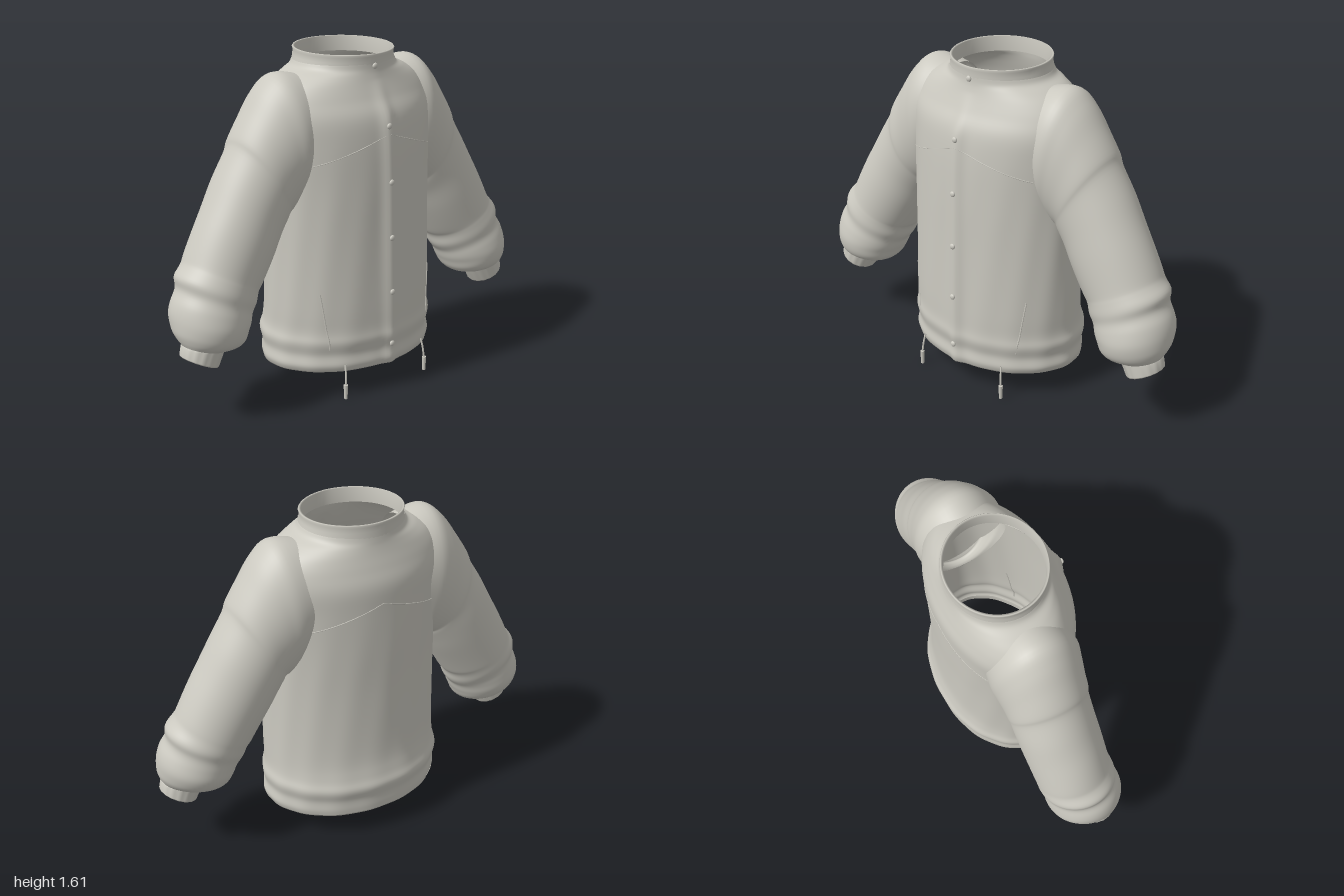
import * as THREE from 'three';

const cloth = new THREE.MeshStandardMaterial({ color: 0xcbc9c0, side: THREE.DoubleSide });
cloth.name = 'stone cloth';

// Torso sections: y, half width, front z, back z
const BODY = [
  [0.13, 0.445, 0.32, -0.333], [0.16, 0.455, 0.327, -0.335], [0.21, 0.448, 0.322, -0.337],
  [0.27, 0.458, 0.333, -0.35], [0.33, 0.445, 0.328, -0.333], [0.45, 0.443, 0.326, -0.315],
  [0.75, 0.44, 0.318, -0.308], [1.0, 0.44, 0.312, -0.31], [1.2, 0.45, 0.302, -0.31],
  [1.32, 0.455, 0.285, -0.308], [1.4, 0.435, 0.248, -0.287], [1.46, 0.385, 0.223, -0.269],
  [1.5, 0.32, 0.21, -0.259], [1.525, 0.265, 0.205, -0.255], [1.55, 0.246, 0.203, -0.252],
];

// Sleeve sections: outer x, y, inner x, y, centre z, half depth
const SLEEVE = [
  [0.25, 1.5, 0.3, 0.98, -0.025, 0.2], [0.39, 1.525, 0.33, 0.9, -0.02, 0.215],
  [0.475, 1.465, 0.35, 0.87, -0.02, 0.207], [0.55, 1.36, 0.37, 0.86, -0.02, 0.198],
  [0.61, 1.265, 0.385, 0.86, -0.02, 0.194], [0.635, 1.205, 0.395, 0.84, -0.02, 0.189],
  [0.72, 1.07, 0.42, 0.8, -0.018, 0.188], [0.8, 0.925, 0.465, 0.715, -0.012, 0.187],
  [0.88, 0.775, 0.545, 0.59, -0.004, 0.183], [0.91, 0.725, 0.567, 0.555, 0, 0.184],
  [0.943, 0.68, 0.585, 0.515, 0.005, 0.186], [0.95, 0.63, 0.605, 0.48, 0.012, 0.18],
  [0.975, 0.575, 0.622, 0.45, 0.018, 0.185], [0.995, 0.51, 0.642, 0.412, 0.025, 0.187],
  [0.995, 0.455, 0.66, 0.37, 0.033, 0.172], [0.985, 0.415, 0.7, 0.345, 0.045, 0.142],
  [0.972, 0.388, 0.775, 0.335, 0.056, 0.098],
];

const catmull = (a, b, c, d, t) =>
  0.5 * (2 * b + (c - a) * t + (2 * a - 5 * b + 4 * c - d) * t * t + (3 * b - a - 3 * c + d) * t * t * t);

// Insert smooth intermediate sections
function refine(rows, steps) {
  const at = i => rows[Math.min(Math.max(i, 0), rows.length - 1)], out = [];
  for (let i = 0; i < rows.length - 1; i++)
    for (let s = 0; s < steps; s++)
      out.push(rows[i].map((_, k) => catmull(at(i - 1)[k], at(i)[k], at(i + 1)[k], at(i + 2)[k], s / steps)));
  out.push(rows[rows.length - 1]);
  return out;
}

// Skin closed rings given by point(row, angle, index)
function loft(name, rows, sides, point, flip = false) {
  const pos = [], idx = [];
  rows.forEach((row, i) => {
    for (let j = 0; j < sides; j++) pos.push(...point(row, (j / sides) * Math.PI * 2, i / (rows.length - 1)));
  });
  for (let i = 0; i < rows.length - 1; i++)
    for (let j = 0; j < sides; j++) {
      const a = i * sides + j, b = i * sides + ((j + 1) % sides), c = a + sides, d = b + sides;
      if (flip) idx.push(a, b, c, b, d, c);
      else idx.push(a, c, b, b, c, d);
    }
  const g = new THREE.BufferGeometry();
  g.setAttribute('position', new THREE.Float32BufferAttribute(pos, 3));
  g.setIndex(idx);
  g.computeVertexNormals();
  const m = new THREE.Mesh(g, cloth);
  m.name = name;
  return m;
}

// Raised button placket down the front
const placket = (x, y) => 0.018 * Math.exp(-((x / 0.035) ** 2)) * Math.min(1, Math.max(0.1, (1.5 - y) / 0.2));

function bodyPoint([y, w, zf, zb], a) {
  const calm = Math.min(1, Math.max(0, (1.3 - y) / 0.4));
  const drape = 1 + 0.006 * calm * Math.sin(11 * a + 2 * y) * Math.sin(5 * a + 3 * y);
  const x = w * Math.cos(a) * drape;
  let z = (zf + zb) / 2 + ((zf - zb) / 2) * Math.sin(a) * drape;
  if (Math.sin(a) > 0) z += placket(x, y);
  return [x, y, z];
}

// Depth of the torso surface at x, y
function surfaceZ(x, y, side = 1) {
  let i = 0;
  while (i < BODY.length - 2 && BODY[i + 1][0] < y) i++;
  const t = (y - BODY[i][0]) / (BODY[i + 1][0] - BODY[i][0]);
  const [, w, zf, zb] = BODY[i].map((v, k) => v + (BODY[i + 1][k] - v) * t);
  const z = (zf + zb) / 2 + side * ((zf - zb) / 2) * Math.sqrt(Math.max(0, 1 - (x / w) ** 2));
  return side > 0 ? z + placket(x, y) : z;
}

function tube(name, pts, r) {
  const curve = new THREE.CatmullRomCurve3(pts);
  const m = new THREE.Mesh(new THREE.TubeGeometry(curve, 32, r, 6), cloth);
  m.name = name;
  return m;
}

export function createModel() {
  const jacket = new THREE.Group();
  jacket.name = 'jacket';

  jacket.add(loft('torso', refine(BODY, 5), 180, bodyPoint));

  // Turned edge inside the hem
  jacket.add(loft('hemEdge', [[0.17, 0.435, 0.315, -0.323], [0.13, 0.435, 0.311, -0.323], [0.128, 0.445, 0.32, -0.333],
    [0.135, 0.449, 0.323, -0.335]], 120, bodyPoint));

  // Standing collar, slightly higher at the back
  const collarRows = [[1.535, 0.248, 0.204, -0.253], [1.565, 0.24, 0.203, -0.251], [1.588, 0.238, 0.204, -0.251],
    [1.598, 0.242, 0.206, -0.253], [1.603, 0.238, 0.203, -0.25], [1.6, 0.228, 0.194, -0.242], [1.53, 0.228, 0.192, -0.241]];
  jacket.add(loft('collar', collarRows, 72, (r, a) => {
    const p = bodyPoint(r, a);
    p[1] -= 0.007 * Math.sin(a);
    return p;
  }));

  for (const s of [1, -1]) {
    const side = s > 0 ? 'left' : 'right';

    // Sleeve with soft slanting folds
    const sleevePoint = ([ox, oy, ix, iy, zc, zr], a, t) => {
      const amount = 0.014 * Math.max(0, Math.min(1, (t - 0.25) * 4, (0.95 - t) * 6));
      const f = 1 + amount * Math.sin(t * 42 + 1.5 * Math.sin(a + 0.6)) * (0.6 + 0.4 * Math.cos(2 * a));
      const c = Math.cos(a) * f;
      return [s * ((ox + ix) / 2 + ((ox - ix) / 2) * c), (oy + iy) / 2 + ((oy - iy) / 2) * c, zc + zr * Math.sin(a) * f];
    };
    jacket.add(loft(side + 'Sleeve', refine(SLEEVE, 5), 64, sleevePoint, s > 0));

    // Ribbed, hollow cuff
    const cuffRows = [[0.968, 0.392, 0.775, 0.34, 0.056, 0.094], [0.977, 0.38, 0.784, 0.325, 0.057, 0.092],
      [0.985, 0.342, 0.813, 0.268, 0.058, 0.09], [0.982, 0.336, 0.82, 0.262, 0.058, 0.088],
      [0.972, 0.336, 0.828, 0.268, 0.058, 0.078], [0.958, 0.39, 0.796, 0.335, 0.057, 0.078]];
    jacket.add(loft(side + 'Cuff', cuffRows, 64, ([ox, oy, ix, iy, zc, zr], a) => {
      const f = 1 + 0.012 * Math.cos(16 * a), c = Math.cos(a) * f;
      return [s * ((ox + ix) / 2 + ((ox - ix) / 2) * c), (oy + iy) / 2 + ((oy - iy) / 2) * c, zc + zr * Math.sin(a) * f];
    }, s > 0));

    // Slanted pocket welt
    const welt = [];
    for (let i = 0; i <= 6; i++) {
      const x = 0.335 - 0.035 * (i / 6), y = 0.52 - 0.28 * (i / 6);
      welt.push(new THREE.Vector3(s * x, y, surfaceZ(x, y)));
    }
    jacket.add(tube(side + 'PocketWelt', welt, 0.004));

    // Drawcord and toggle below the hem
    jacket.add(tube(side + 'Drawcord', [new THREE.Vector3(s * 0.24, 0.165, 0.282),
      new THREE.Vector3(s * 0.245, 0.12, 0.292), new THREE.Vector3(s * 0.25, 0.06, 0.298)], 0.005));
    const toggle = new THREE.Mesh(new THREE.CylinderGeometry(0.011, 0.008, 0.07, 12), cloth);
    toggle.name = side + 'Toggle';
    toggle.position.set(s * 0.25, 0.035, 0.298);
    jacket.add(toggle);
  }

  // Yoke seams across the chest and back
  for (const side of [1, -1]) {
    const pts = [];
    for (let i = -8; i <= 8; i++) {
      const x = (i / 8) * 0.36, y = 1.24 - 0.33 * Math.abs(x);
      pts.push(new THREE.Vector3(x, y, surfaceZ(x, y, side)));
    }
    jacket.add(tube(side > 0 ? 'frontYokeSeam' : 'backYokeSeam', pts, 0.0025));
  }

  // Snap buttons
  for (const y of [1.54, 1.28, 1.02, 0.755, 0.49, 0.23]) {
    const button = new THREE.Mesh(new THREE.SphereGeometry(0.014, 16, 10), cloth);
    button.name = 'button';
    button.scale.z = 0.6;
    button.position.set(-0.004, y, surfaceZ(0, y) + 0.002);
    jacket.add(button);
  }
  return jacket;
}
